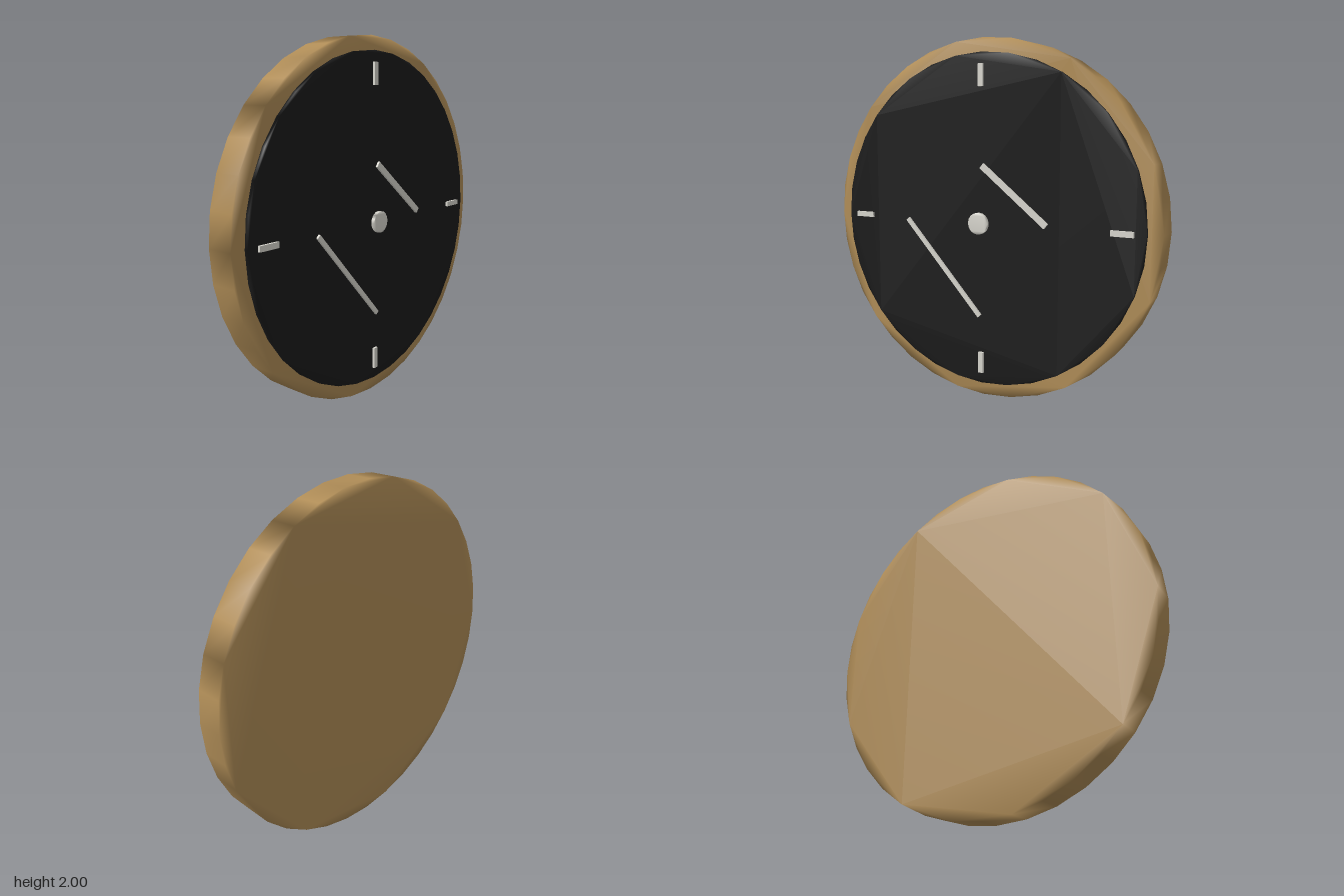
import * as THREE from 'three';
import { mergeVertices } from 'three/addons/utils/BufferGeometryUtils.js';

const material = (name, color) => {
  const m = new THREE.MeshStandardMaterial({ color });
  m.name = name;
  return m;
};

// Upright disc facing +z, welded so shading rolls softly over the rim
function discGeometry(radius, depth, sides) {
  const points = [];
  for (let i = 0; i < sides; i++) {
    const a = (i / sides) * Math.PI * 2;
    points.push(new THREE.Vector2(Math.cos(a) * radius, Math.sin(a) * radius));
  }
  let geo = new THREE.ExtrudeGeometry(new THREE.Shape(points), { depth, bevelEnabled: false });
  geo.deleteAttribute('normal');
  geo.deleteAttribute('uv');
  geo = mergeVertices(geo, 1e-5);
  geo.computeVertexNormals();
  return geo;
}

export function createModel() {
  const clock = new THREE.Group();
  clock.name = 'wallClock';
  const wood = material('wood', 0xb08d57);
  const black = material('dialBlack', 0x1a1a1a);
  const silver = material('silver', 0xd8d6ce);

  const add = (name, geometry, mat, x, y, z) => {
    const mesh = new THREE.Mesh(geometry, mat);
    mesh.name = name;
    mesh.position.set(x, y, z);
    clock.add(mesh);
    return mesh;
  };

  // Wooden case and dial
  add('case', discGeometry(1, 0.15, 36), wood, 0, 1, -0.11);
  add('dial', discGeometry(0.922, 0.02, 36), black, 0, 1, 0.045);

  // Quarter-hour markers
  const marker = new THREE.BoxGeometry(0.12, 0.03, 0.018);
  for (let i = 0; i < 4; i++) {
    const a = (i * Math.PI) / 2;
    add('hourMarker', marker, silver, Math.cos(a) * 0.8, 1 + Math.sin(a) * 0.8, 0.07).rotation.z = a;
  }

  // Hands, each a slim bar between two points
  const hand = (name, x1, y1, x2, y2, width, z) => {
    const length = Math.hypot(x2 - x1, y2 - y1);
    const bar = add(name, new THREE.BoxGeometry(length, width, 0.013), silver, (x1 + x2) / 2, (y1 + y2) / 2, z);
    bar.rotation.z = Math.atan2(y2 - y1, x2 - x1);
  };
  hand('hourHand', 0.01, 1.316, 0.393, 1.008, 0.034, 0.079);
  hand('minuteHand', -0.478, 0.995, -0.002, 0.474, 0.025, 0.084);

  // Centre cap
  add('centreCap', discGeometry(0.06, 0.02, 16), silver, 0, 1, 0.09);

  return clock;
}
